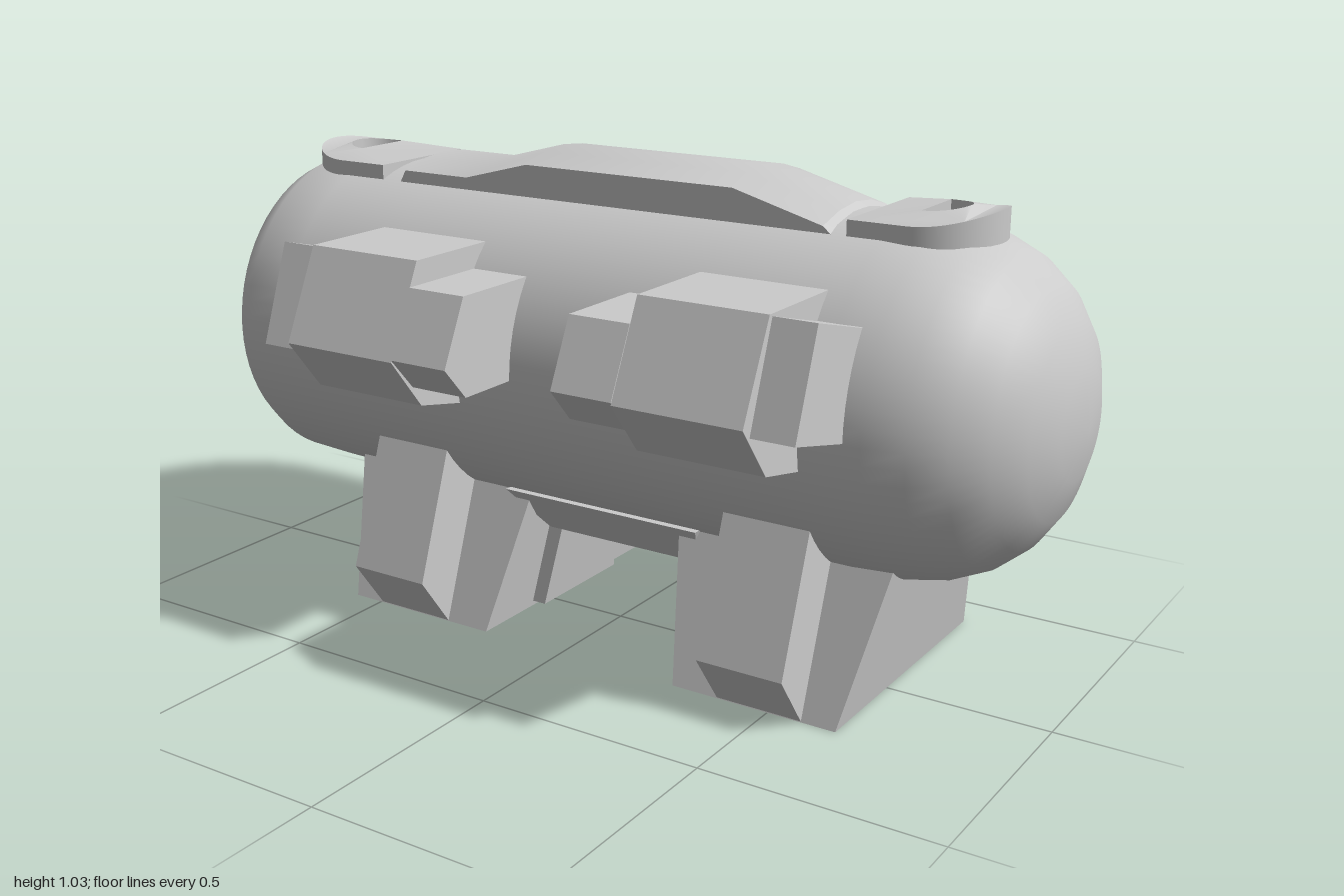
import * as THREE from 'three';
import { toCreasedNormals } from 'three/addons/utils/BufferGeometryUtils.js';

const MID_X = 0.04;              // symmetry plane of legs and brackets
const CY = 0.603, CZ = -0.08;    // tank axis
const material = new THREE.MeshStandardMaterial({ color: 0xcccccc });

// Closed skin over equal-length rings of [x, y, z], capped at both ends
function loft(rings, crease = 0.4) {
  const n = rings[0].length, pos = rings.flat(2), tris = [];
  const point = (i) => new THREE.Vector3().fromArray(pos, i * 3);
  for (let s = 0; s < rings.length - 1; s++) {
    for (let i = 0; i < n; i++) {
      const a = s * n + i, b = s * n + (i + 1) % n;
      tris.push([a, b, b + n], [a, b + n, a + n]);
    }
  }
  [0, rings.length - 1].forEach((s, end) => {
    const centre = [0, 1, 2].map((k) => rings[s].reduce((sum, p) => sum + p[k], 0) / n);
    const c = pos.length / 3;
    pos.push(...centre);
    for (let i = 0; i < n; i++) {
      const a = s * n + i, b = s * n + (i + 1) % n;
      tris.push(end ? [c, a, b] : [c, b, a]);
    }
  });
  // Turn all faces outward
  let volume = 0;
  for (const [a, b, c] of tris) volume += point(a).dot(point(b).cross(point(c)));
  if (volume < 0) tris.forEach((t) => t.reverse());
  const geo = new THREE.BufferGeometry();
  geo.setAttribute('position', new THREE.Float32BufferAttribute(pos, 3));
  geo.setIndex(tris.flat());
  return toCreasedNormals(geo, crease);
}

// Section of [z, y] points placed at x
const section = (x, profile) => profile.map(([z, y]) => [x, y, z]);
const slab = (profile, x0, x1) => loft([section(x0, profile), section(x1, profile)]);
// Horizontal rectangle at height y
const rect = (y, x0, x1, z0, z1) => [[x0, y, z0], [x1, y, z0], [x1, y, z1], [x0, y, z1]];

// Tank: rings along x, with a recessed window cut into the back
function tankGeometry() {
  const profile = [
    [-1, 0.002], [-0.993, 0.1], [-0.97, 0.19], [-0.925, 0.27], [-0.865, 0.335], [-0.82, 0.357],
    [-0.7, 0.363], [-0.45, 0.363], [-0.23, 0.363], [-0.225, 0.363, 1], [0.295, 0.363, 1],
    [0.3, 0.363], [0.62, 0.363], [0.7, 0.358], [0.78, 0.342], [0.85, 0.31], [0.91, 0.26],
    [0.955, 0.195], [0.985, 0.11], [1, 0.002],
  ];
  const sides = 64;
  return loft(profile.map(([x, r, cut]) => Array.from({ length: sides }, (_, i) => {
    const t = (i / sides) * Math.PI * 2;
    const y = CY + r * Math.sin(t);
    let z = CZ + r * Math.cos(t);
    if (cut) z = Math.max(z, -0.385 - (0.79 - y) * 0.1);
    return [x, y, z];
  })), 0.6);
}

// Round-ended pad on top, with a half-disc pocket
function padGeometry() {
  const r = 0.14;
  const shape = new THREE.Shape();
  shape.moveTo(-0.12, -r);
  shape.lineTo(0, -r);
  shape.absarc(0, 0, r, -Math.PI / 2, Math.PI / 2, false);
  shape.lineTo(-0.12, r);
  const hole = new THREE.Path();
  hole.moveTo(0, 0.07);
  hole.lineTo(0, -0.07);
  hole.absarc(0, 0, 0.07, -Math.PI / 2, Math.PI / 2, false);
  shape.holes.push(hole);
  const geo = new THREE.ExtrudeGeometry(shape, { depth: 0.11, bevelEnabled: false, curveSegments: 14 });
  // Bend the top down towards the long edges
  const p = geo.attributes.position;
  for (let i = 0; i < p.count; i++) {
    if (p.getZ(i) > 0.05) p.setZ(i, 0.11 - 0.025 * (p.getY(i) / r) ** 2);
  }
  return toCreasedNormals(geo.rotateX(-Math.PI / 2), 0.5);
}

export function createModel() {
  const model = new THREE.Group();
  const add = (name, geometry, parent = model) => {
    const mesh = new THREE.Mesh(geometry, material);
    mesh.name = name;
    parent.add(mesh);
    return mesh;
  };

  add('tank', tankGeometry());

  // Arched spine along the top
  const spine = [[-0.555, 0.945], [-0.53, 0.99], [-0.36, 0.99], [-0.2, 1.032], [0.3, 1.032], [0.5, 0.978], [0.54, 0.945]];
  const arch = [[0.14, 0.026], [0.07, 0.007], [0, 0], [-0.07, 0.007], [-0.14, 0.026]];
  add('topSpine', loft(spine.map(([x, top]) => section(x, [
    [CZ - 0.14, 0.88], [CZ + 0.14, 0.88], ...arch.map(([dz, drop]) => [CZ + dz, top - drop]),
  ]))));

  // Pads at both ends of the spine
  for (const [name, x, turn] of [['leftPad', 0.67, 0], ['rightPad', -0.715, Math.PI]]) {
    const pad = add(name, padGeometry());
    pad.position.set(x, 0.885, CZ);
    pad.rotation.y = turn;
  }

  // Back window: protruding sill and swelling cheeks on either side
  add('windowSill', slab([[-0.3, 0.5], [-0.405, 0.56], [-0.476, 0.53], [-0.46, 0.465], [-0.38, 0.4]], -0.23, 0.3));
  const swell = [[-0.35, 0.6], [-0.385, 0.79], [-0.443, 0.61], [-0.476, 0.53], [-0.46, 0.465], [-0.38, 0.4]];
  const flush = [[-0.35, 0.6], [-0.38, 0.78], [-0.441, 0.61], [-0.433, 0.53], [-0.41, 0.465], [-0.37, 0.4]];
  add('rightWindowCheek', loft([section(-0.23, swell), section(-0.45, flush)]));
  add('leftWindowCheek', loft([section(0.3, swell), section(0.42, flush)]));

  // Belly plate between the legs
  add('bellyPlate', loft([rect(0.21, -0.14, 0.24, CZ - 0.15, CZ + 0.15), rect(0.31, -0.2, 0.28, CZ - 0.23, CZ + 0.23)]));

  const fullBlock = [[0.1, 0.86], [0.4, 0.86], [0.488, 0.67], [0.4, 0.56], [0.27, 0.533], [0.1, 0.533]];
  const innerBlock = [[0.1, 0.81], [0.425, 0.81], [0.488, 0.675], [0.425, 0.605], [0.1, 0.605]];
  const outerBlock = [[0.1, 0.81], [0.22, 0.81], [0.39, 0.855], [0.463, 0.65], [0.28, 0.606], [0.1, 0.606]];

  for (const side of [1, -1]) {
    const prefix = side > 0 ? 'left' : 'right';
    const at = (u) => MID_X + side * u;

    // Leg: tapered saddle, inner step and two angled buttresses
    const leg = new THREE.Group();
    leg.name = prefix + 'Leg';
    model.add(leg);
    add('saddle', loft([
      rect(0.003, at(0.24), at(0.61), -0.397, 0.232),
      rect(0.38, at(0.175), at(0.68), -0.26, 0.1),
    ]), leg);
    add('innerStep', loft([
      rect(0.015, at(0.205), at(0.3), CZ - 0.14, CZ + 0.14),
      rect(0.32, at(0.15), at(0.3), CZ - 0.1, CZ + 0.1),
    ]), leg);
    for (const dir of [1, -1]) {
      const buttress = [[0.15, 0.4], [0.302, 0.4], [0.4, 0.12], [0.315, 0.005], [0.25, 0.005]];
      add(dir > 0 ? 'frontButtress' : 'backButtress',
        slab(buttress.map(([d, y]) => [CZ - 0.003 + dir * d, y]), at(0.345), at(0.535)), leg);
    }

    // Front bracket made of three stepped blocks
    const bracket = new THREE.Group();
    bracket.name = prefix + 'FrontBracket';
    model.add(bracket);
    add('mainBlock', slab(fullBlock, at(0.26), at(0.535)), bracket);
    add('innerBlock', slab(innerBlock, at(0.125), at(0.26)), bracket);
    add('outerBlock', slab(outerBlock, at(0.535), at(0.625)), bracket);
  }
  return model;
}
